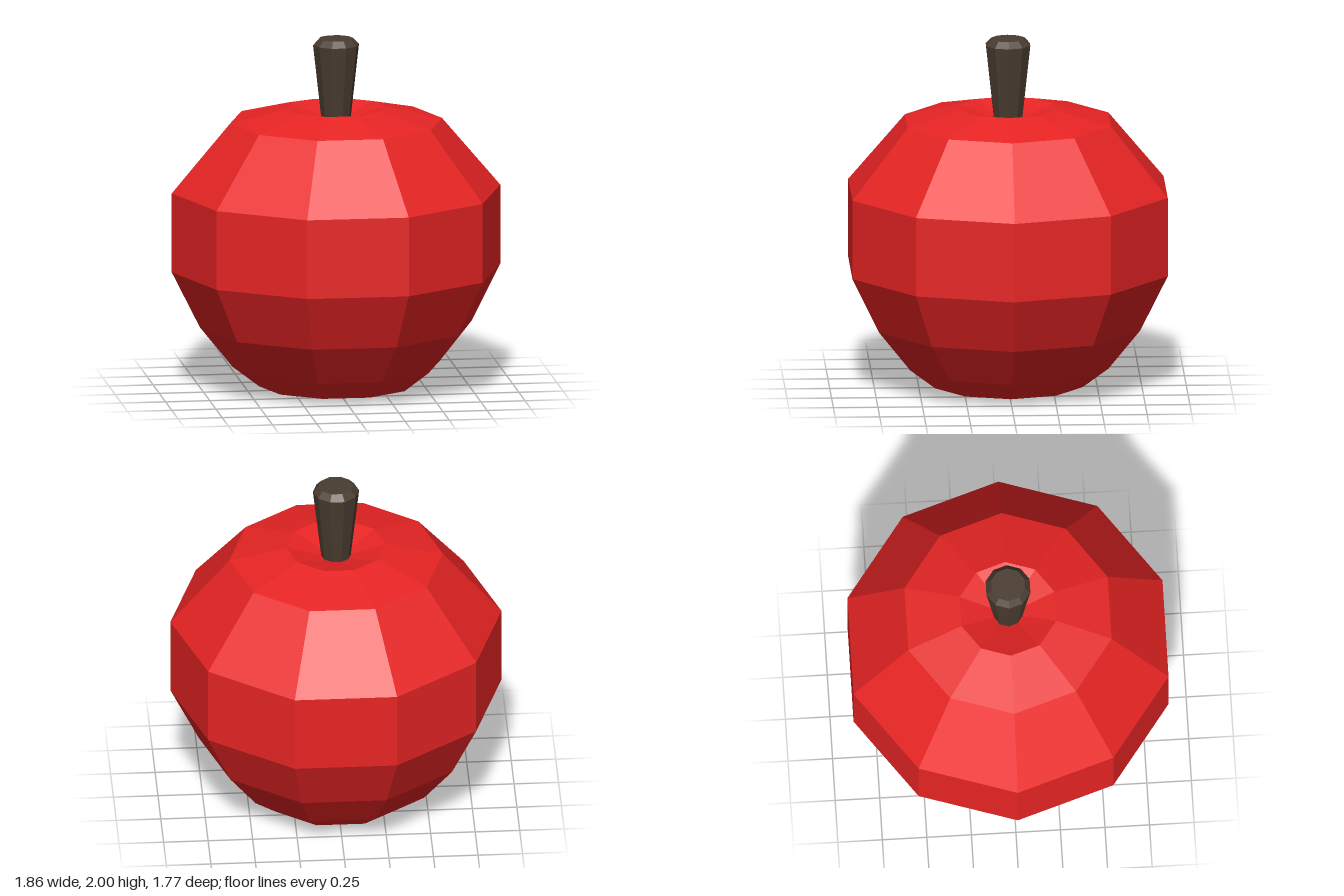
import * as THREE from 'three';

const SIDES = 10;

// Faceted solid of revolution; profile runs bottom to top as [radius, y]
function turned(name, profile, color) {
  const points = profile.map(([r, y]) => new THREE.Vector2(r, y));
  const geometry = new THREE.LatheGeometry(points, SIDES, Math.PI / 2);
  const material = new THREE.MeshStandardMaterial({ color, flatShading: true });
  const mesh = new THREE.Mesh(geometry, material);
  mesh.name = name;
  return mesh;
}

export function createModel() {
  const apple = new THREE.Group();
  apple.name = 'apple';

  // Fruit body, with a shallow dimple below and a hollow around the stem
  apple.add(turned('body', [
    [0, 0.06], [0.27, 0], [0.435, 0.025], [0.585, 0.14], [0.77, 0.37],
    [0.93, 0.69], [0.93, 1.14], [0.6, 1.53], [0.28, 1.605], [0, 1.52],
  ], 0xe82424));

  // Stem, flaring upwards to a bevelled tip
  apple.add(turned('stem', [
    [0, 1.5], [0.078, 1.5], [0.13, 1.965], [0.098, 2], [0, 2],
  ], 0x4a3c30));

  return apple;
}
